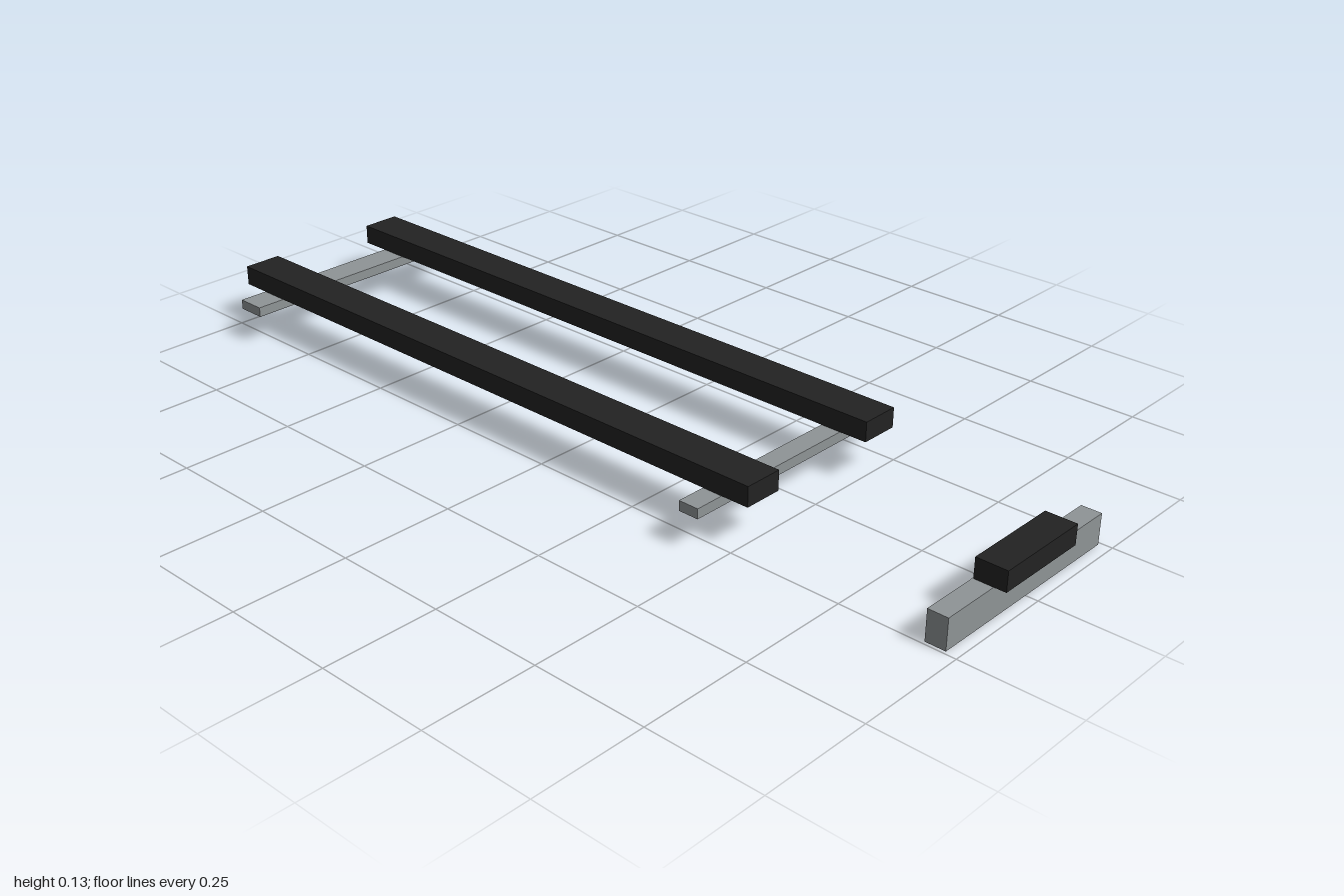
import * as THREE from 'three';

export function createModel() {
  const model = new THREE.Group();
  const black = new THREE.MeshStandardMaterial({ color: 0x222222 });
  black.name = 'black';
  const gray = new THREE.MeshStandardMaterial({ color: 0x8f9496 });
  gray.name = 'gray';

  // Box given by its lower and upper corners
  const addBox = (name, material, [x0, y0, z0], [x1, y1, z1]) => {
    const mesh = new THREE.Mesh(new THREE.BoxGeometry(x1 - x0, y1 - y0, z1 - z0), material);
    mesh.name = name;
    mesh.position.set((x0 + x1) / 2, (y0 + y1) / 2, (z0 + z1) / 2);
    model.add(mesh);
  };

  // Two long rails
  addBox('frontRail', black, [-1, 0.089, 0.133], [0.513, 0.133, 0.221]);
  addBox('backRail', black, [-1, 0.089, -0.221], [0.513, 0.133, -0.133]);

  // Flat crossbars under the rails
  addBox('wideCrossbar', gray, [-0.936, 0.067, -0.287], [-0.87, 0.089, 0.287]);
  addBox('narrowCrossbar', gray, [0.404, 0.067, -0.287], [0.45, 0.089, 0.287]);

  // Separate end beam with its pad
  addBox('endBeam', gray, [0.93, 0, -0.243], [0.974, 0.067, 0.243]);
  addBox('endPad', black, [0.932, 0.067, -0.11], [1, 0.111, 0.11]);

  return model;
}
